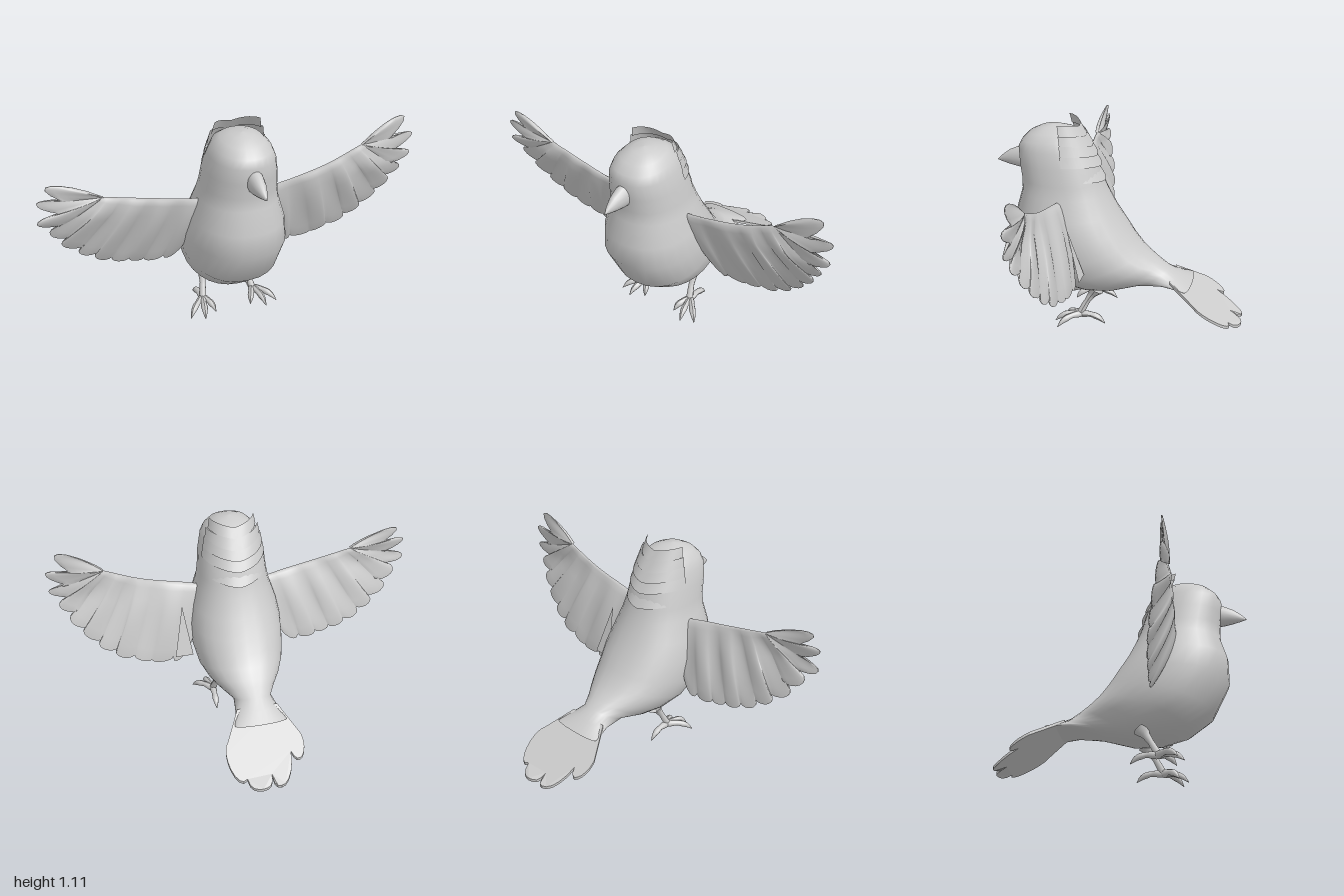
import * as THREE from 'three';

const V = (x, y, z) => new THREE.Vector3(x, y, z);
const plumage = new THREE.MeshStandardMaterial({ color: 0xcccccc, side: THREE.DoubleSide });
plumage.name = 'plumage grey';

// Skin a row of equal-length rings; "closed" joins each ring's end to its start.
function loft(rings, closed = true) {
  const n = rings[0].length, index = [];
  for (let i = 0; i < rings.length - 1; i++) {
    for (let j = 0; j < (closed ? n : n - 1); j++) {
      const k = (j + 1) % n;
      const a = i * n + j, b = i * n + k, c = a + n, d = b + n;
      index.push(a, c, b, b, c, d);
    }
  }
  const g = new THREE.BufferGeometry().setFromPoints(rings.flat());
  g.setIndex(index);
  g.computeVertexNormals();
  return g;
}

// Oval ring through two points on the centre plane, given half width w.
function oval([za, ya, zb, yb, w], power = 1, n = 28) {
  const ring = [];
  const soft = (t) => Math.sign(t) * Math.pow(Math.abs(t), power);
  for (let j = 0; j < n; j++) {
    const a = (j / n) * Math.PI * 2, c = soft(Math.cos(a)), s = soft(Math.sin(a));
    ring.push(V(w * s, (ya + yb) / 2 + (c * (ya - yb)) / 2, (za + zb) / 2 + (c * (za - zb)) / 2));
  }
  return ring;
}

// Row of rounded feather ends through alternating notch and tip points.
function featherEdge(p, steps = 8) {
  const out = [];
  for (let i = 0; i + 2 < p.length; i += 2) {
    const [a, t, b] = [p[i], p[i + 1], p[i + 2]].map((q) => new THREE.Vector2(...q));
    const push = t.clone().sub(a.clone().add(b).multiplyScalar(0.5)).multiplyScalar(4 / 3);
    const curve = new THREE.CubicBezierCurve(a, a.clone().add(push), b.clone().add(push), b);
    const pts = curve.getPoints(steps);
    out.push(...(i ? pts.slice(1) : pts));
  }
  return out;
}

// Tube along a path whose radius follows a list of values.
function taper(points, radii) {
  const segs = 12, sides = 8;
  const curve = new THREE.CatmullRomCurve3(points.map((p) => V(...p)));
  const g = new THREE.TubeGeometry(curve, segs, 1, sides);
  const pos = g.attributes.position, v = V();
  for (let i = 0; i <= segs; i++) {
    const c = curve.getPointAt(i / segs);
    const f = (i / segs) * (radii.length - 1), k = Math.min(Math.floor(f), radii.length - 2);
    const r = THREE.MathUtils.lerp(radii[k], radii[k + 1], f - k);
    for (let j = 0; j <= sides; j++) {
      const id = i * (sides + 1) + j;
      v.fromBufferAttribute(pos, id).sub(c).multiplyScalar(r).add(c);
      pos.setXYZ(id, v.x, v.y, v.z);
    }
  }
  g.computeVertexNormals();
  return g;
}

// Wing: thin aerofoil between a leading edge and a feathered outline.
function wing(side, leading, feathers) {
  const edge = featherEdge(feathers);
  const lead = new THREE.CatmullRomCurve3(leading.map(([x, y]) => V(x, y, 0)));
  const vs = [1, 0.85, 0.7, 0.55, 0.4, 0.25, 0.1, 0.03];
  const rings = edge.map((e, i) => {
    const u = i / (edge.length - 1), l = lead.getPoint(Math.min(1, u * 1.5));
    const at = (v, face) => {
      const x = l.x + (e.x - l.x) * v, y = l.y + (e.y - l.y) * v;
      const drop = THREE.MathUtils.clamp((0.74 - y) / 0.43, 0, 1);
      const half = 0.003 + 0.06 * Math.sqrt(v) * (1 - v) * (1 - 0.75 * u);
      const fold = 0.009 * Math.sin(Math.PI * v) * Math.sin(u * 34);
      return V(side * x, y, 0.3 - 0.13 * drop + face * half + fold);
    };
    return [...vs.map((v) => at(v, 1)), at(0, 0), ...vs.slice().reverse().map((v) => at(v, -1))];
  });
  if (side < 0) rings.reverse();
  return loft(rings);
}

export function createModel() {
  const bird = new THREE.Group();
  bird.name = 'bird';
  const add = (name, geometry, parent = bird) => {
    const m = new THREE.Mesh(geometry, plumage);
    m.name = name;
    parent.add(m);
    return m;
  };

  // Head and body: front z, y, back z, y, half width, from crown to tail root
  add('body', loft([
    [0.37, 1.08, 0.37, 1.08, 0], [0.43, 1.07, 0.31, 1.075, 0.055],
    [0.49, 1.04, 0.25, 1.06, 0.105], [0.53, 1.0, 0.2, 1.03, 0.14],
    [0.55, 0.96, 0.17, 0.97, 0.16], [0.545, 0.88, 0.13, 0.89, 0.178],
    [0.535, 0.8, 0.1, 0.79, 0.187], [0.535, 0.73, 0.07, 0.72, 0.2],
    [0.57, 0.61, 0.02, 0.62, 0.235], [0.57, 0.48, -0.04, 0.53, 0.255],
    [0.48, 0.3, -0.08, 0.47, 0.25], [0.36, 0.21, -0.13, 0.41, 0.23],
    [0.22, 0.165, -0.18, 0.37, 0.19], [0.08, 0.16, -0.22, 0.345, 0.145],
    [-0.08, 0.2, -0.27, 0.315, 0.1], [-0.22, 0.23, -0.33, 0.28, 0.115],
    [-0.35, 0.235, -0.4, 0.24, 0.14],
  ].map((s) => oval(s, 0.9))));

  // Overlapping feather rows on the nape: back z, y, half width
  for (const [z, y, w] of [[0.188, 1.025, 0.135], [0.152, 0.975, 0.156], [0.127, 0.925, 0.17],
    [0.107, 0.87, 0.18], [0.085, 0.79, 0.188]]) {
    const row = (grow, lift) => Array.from({ length: 15 }, (_, j) => {
      const a = ((j - 7) / 7) * 1.3;
      const s = Math.sin(a);
      return V(-(w + grow * 0.3) * s, y + lift + 0.03 * Math.abs(s), 0.34 - (0.34 - z + grow) * Math.cos(a));
    });
    add('napeFeathers', loft([row(-0.035, 0.055), row(0, 0)], false));
  }

  // Beak
  add('beak', loft([
    [0.52, 0.955, 0.52, 0.825, 0.042], [0.56, 0.945, 0.56, 0.83, 0.04],
    [0.61, 0.922, 0.61, 0.84, 0.03], [0.65, 0.892, 0.65, 0.85, 0.016],
    [0.683, 0.86, 0.683, 0.86, 0],
  ].map((s) => oval(s, 1, 16))));

  // Tail: feathered plate sloping down behind the body
  const tailEdge = featherEdge([[0.19, 0.43], [0.205, 0.56], [0.13, 0.615], [0.06, 0.68],
    [0, 0.61], [-0.06, 0.665], [-0.125, 0.52], [-0.18, 0.55], [-0.2, 0.45]]);
  const tailShape = new THREE.Shape([new THREE.Vector2(-0.11, 0.29), new THREE.Vector2(0.11, 0.29), ...tailEdge]);
  const tail = new THREE.ExtrudeGeometry(tailShape, { depth: 0.016, bevelEnabled: false });
  tail.rotateX(-Math.PI / 2);
  const tp = tail.attributes.position;
  for (let i = 0; i < tp.count; i++) {
    tp.setY(i, tp.getY(i) + Math.max(0.045, 0.255 + 0.59 * (tp.getZ(i) + 0.3)));
  }
  tail.computeVertexNormals();
  add('tail', tail);

  // Wings, the left one raised a little higher
  add('leftWing', wing(1, [[0.18, 0.715], [0.5, 0.79], [0.7, 0.87]], [
    [0.24, 0.46], [0.31, 0.33], [0.37, 0.33], [0.43, 0.31], [0.49, 0.33], [0.55, 0.335],
    [0.58, 0.37], [0.66, 0.37], [0.67, 0.42], [0.75, 0.43], [0.75, 0.48], [0.83, 0.51],
    [0.82, 0.56], [0.9, 0.6], [0.86, 0.65], [0.95, 0.69], [0.88, 0.73], [0.995, 0.78],
    [0.88, 0.8], [1.0, 0.89], [0.86, 0.87], [0.92, 1.0], [0.7, 0.87]]));
  add('rightWing', wing(-1, [[0.18, 0.715], [0.45, 0.77], [0.68, 0.82]], [
    [0.24, 0.47], [0.29, 0.36], [0.36, 0.36], [0.42, 0.34], [0.46, 0.37], [0.51, 0.36],
    [0.54, 0.39], [0.6, 0.38], [0.63, 0.42], [0.7, 0.42], [0.71, 0.47], [0.79, 0.48],
    [0.78, 0.53], [0.88, 0.56], [0.84, 0.61], [0.94, 0.65], [0.88, 0.7], [1.0, 0.73],
    [0.89, 0.77], [0.995, 0.84], [0.87, 0.83], [0.92, 0.92], [0.68, 0.82]]));

  // Loose shoulder feather behind the left wing
  add('shoulderFeather', loft([
    [V(0.3, 0.63, 0.22), V(0.3, 0.63, 0.22)],
    [V(0.36, 0.35, 0.14), V(0.26, 0.35, 0.14)],
  ], false));

  // Legs with three front toes and one hind toe
  for (const s of [1, -1]) {
    const leg = new THREE.Group();
    leg.name = s > 0 ? 'leftLeg' : 'rightLeg';
    bird.add(leg);
    add('shank', taper([[s * 0.12, 0.2, 0.11], [s * 0.13, 0.13, 0.155], [s * 0.145, 0.045, 0.2]],
      [0.045, 0.022, 0.016, 0.018, 0.02]), leg);
    for (const [x, z] of [[0.1, 0.285], [0.175, 0.33], [0.247, 0.3], [0.15, 0.055]]) {
      const at = (t, y) => [s * (0.145 + (x - 0.145) * t), y, 0.19 + (z - 0.19) * t];
      add('toe', taper([at(-0.05, 0.045), at(0.4, 0.05), at(0.75, 0.035), at(1, 0.004)],
        [0.018, 0.019, 0.015, 0.018, 0.012, 0.001]), leg);
    }
  }
  return bird;
}
